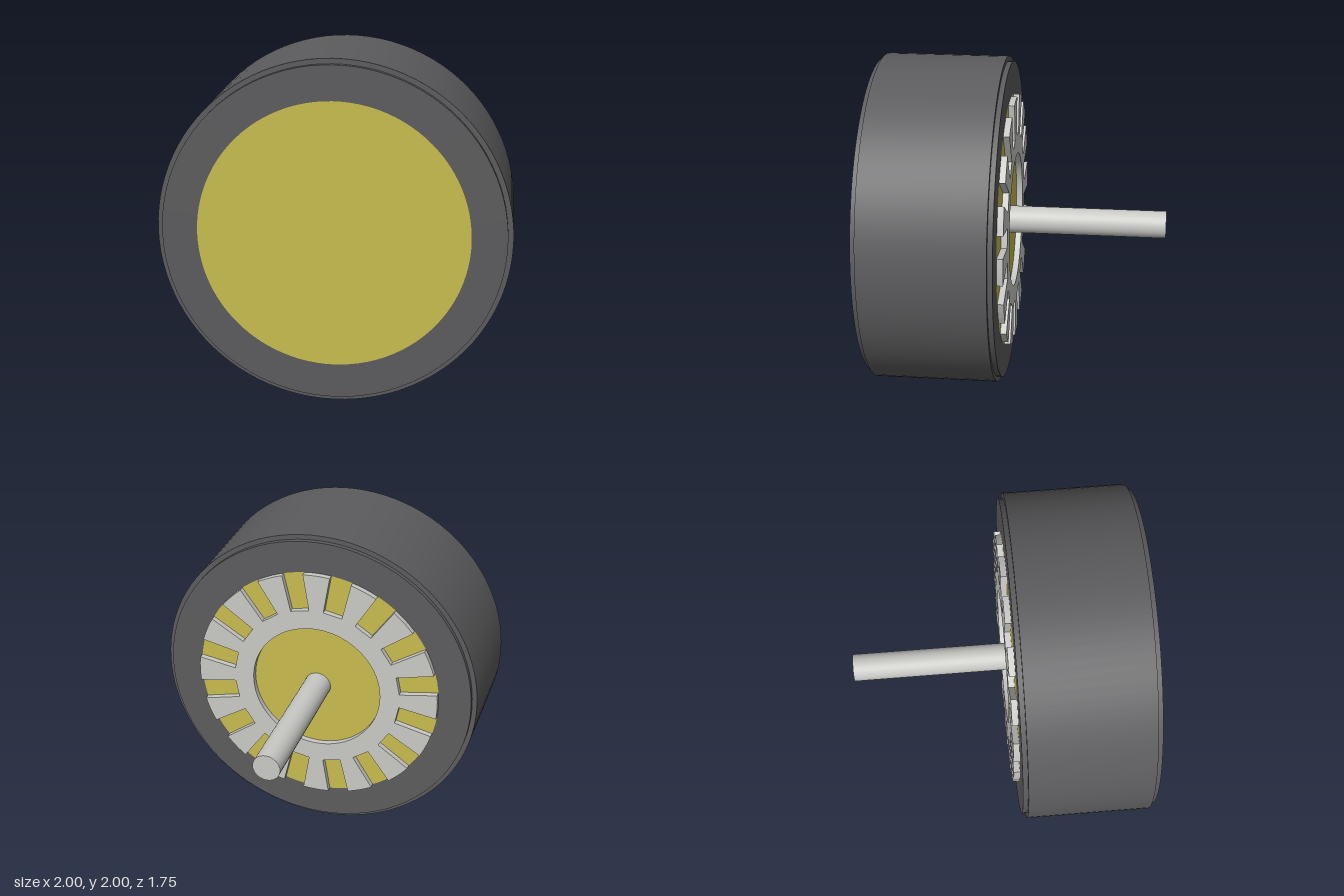
import * as THREE from 'three';
import { toCreasedNormals } from 'three/addons/utils/BufferGeometryUtils.js';

const material = (name, color) => {
  const m = new THREE.MeshStandardMaterial({ color });
  m.name = name;
  return m;
};

export function createModel() {
  const rubber = material('dark grey', 0x5c5c5e);
  const yellow = material('yellow', 0xc8bc4e);
  const metal = material('light grey', 0xc9c9c6);

  const wheel = new THREE.Group();
  wheel.name = 'wheel';
  const add = (name, geometry, mat) => {
    const mesh = new THREE.Mesh(geometry, mat);
    mesh.name = name;
    mesh.position.y = 1;
    wheel.add(mesh);
  };
  // Cylinder lying along z between two depths
  const rod = (radius, z0, z1, segments) =>
    new THREE.CylinderGeometry(radius, radius, z1 - z0, segments)
      .rotateX(Math.PI / 2).translate(0, 0, (z0 + z1) / 2);

  const hubRadius = 0.77, back = 0.08, front = 0.877;

  // Tyre with a small step at each shoulder
  const profile = [
    [hubRadius, back], [0.97, back], [0.97, back + 0.03], [1, back + 0.03],
    [1, front - 0.03], [0.97, front - 0.03], [0.97, front], [hubRadius, front],
  ].map(([r, z]) => new THREE.Vector2(r, z));
  const tyre = new THREE.LatheGeometry(profile, 96).rotateX(Math.PI / 2);
  add('tyre', toCreasedNormals(tyre, 0.5), rubber);

  // Solid hub filling the tyre
  add('hub', rod(hubRadius, back, front, 96), yellow);

  // Toothed ring: sixteen slots open to the rim, round hole in the middle
  const slots = 16, step = (Math.PI * 2) / slots, half = 0.067;
  const rimHalfAngle = Math.asin(half / hubRadius);
  const outline = [];
  for (let i = 0; i < slots; i++) {
    const a = (i + 0.5) * step;
    const c = Math.cos(a), s = Math.sin(a);
    for (const side of [-1, 1]) {
      const r = 0.53, w = side * 0.059;
      outline.push(new THREE.Vector2(r * c - w * s, r * s + w * c));
    }
    // Outer arc of the tooth after this slot
    for (let k = 0; k <= 4; k++) {
      const t = a + rimHalfAngle + (k / 4) * (step - 2 * rimHalfAngle);
      outline.push(new THREE.Vector2(hubRadius * Math.cos(t), hubRadius * Math.sin(t)));
    }
  }
  const ringShape = new THREE.Shape(outline);
  ringShape.holes.push(new THREE.Path().absarc(0, 0, 0.41, 0, Math.PI * 2, true));
  const ring = new THREE.ExtrudeGeometry(ringShape, {
    depth: back - 0.043, bevelEnabled: false, curveSegments: 48,
  }).translate(0, 0, 0.043);
  add('toothedRing', toCreasedNormals(ring, 0.4), metal);

  // Axle standing out of the back
  add('axle', rod(0.083, -0.877, back, 32), metal);

  return wheel;
}
